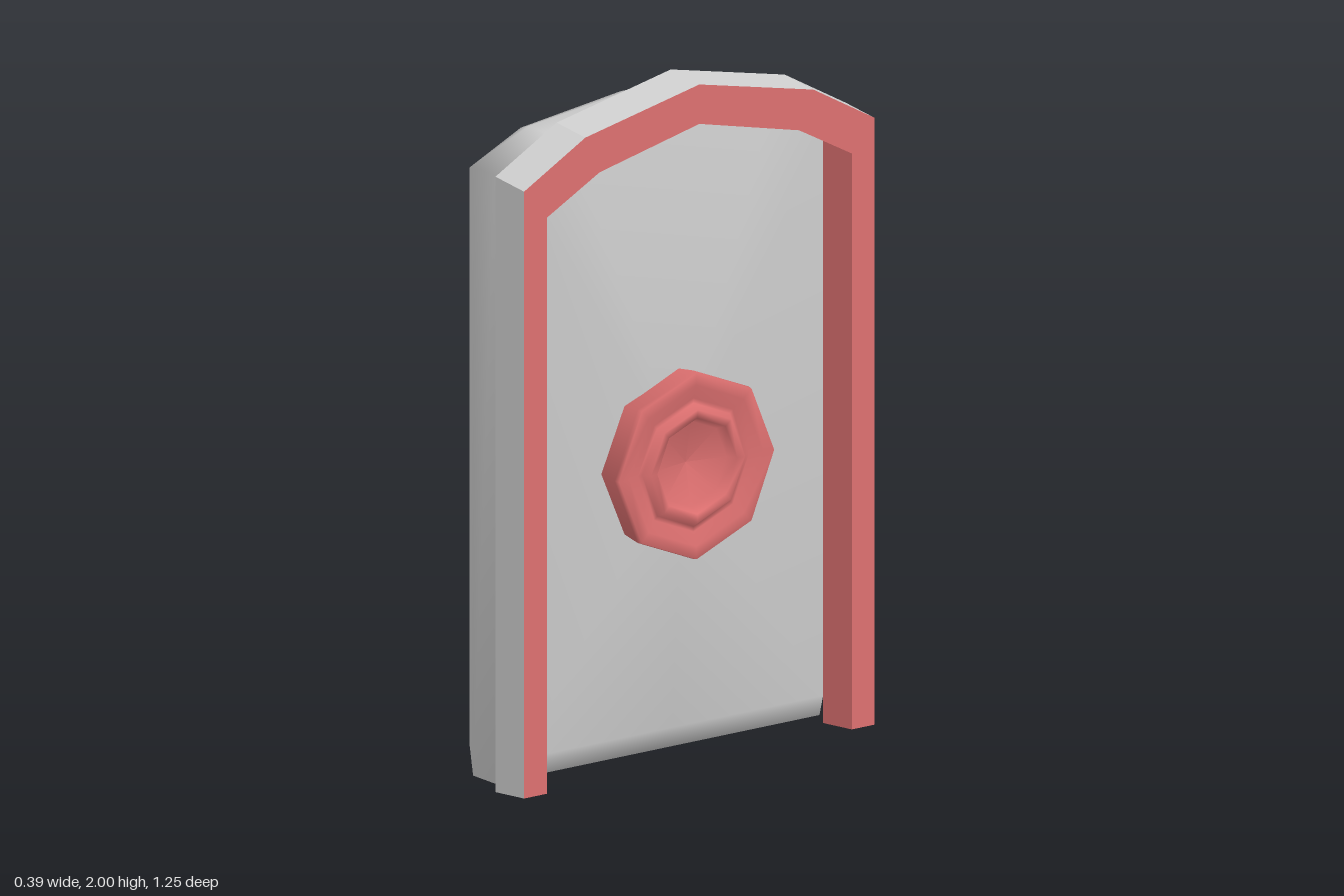
import * as THREE from 'three';

const grey = new THREE.MeshStandardMaterial({ color: 0xcccccc });
grey.name = 'light grey';
const red = new THREE.MeshStandardMaterial({ color: 0xdd7070 });
red.name = 'soft red';

function mesh(name, geometry, material) {
  const m = new THREE.Mesh(geometry, material);
  m.name = name;
  return m;
}

// Rounded slab lofted along x from arched outlines, closed with shallow fans
function slabGeometry() {
  // x, half depth, bottom, top
  const levels = [
    [-0.2, 0.43, 0.15, 1.82], [-0.17, 0.53, 0.07, 1.88], [-0.1, 0.57, 0, 1.905],
    [0, 0.57, 0, 1.905], [0.07, 0.53, 0.08, 1.88],
  ];
  const pos = [], index = [];
  const n = 9, cz = 0.01;
  for (const [x, h, y0, y1] of levels) {
    const outline = [
      [h, y0], [0, y0], [-h, y0], [-h, 0.87], [-h, y1 - 0.13],
      [-h * 0.66, y1 - 0.045], [0, y1], [h * 0.66, y1 - 0.045], [h, y1 - 0.13],
    ];
    for (const [z, y] of outline) pos.push(x, y, z + cz);
  }
  const last = (levels.length - 1) * n;
  const backCentre = pos.length / 3;
  pos.push(-0.2, 0.87, cz, 0.115, 0.87, cz);
  for (let i = 0; i < n; i++) {
    const j = (i + 1) % n;
    for (let l = 0; l < last; l += n) {
      index.push(l + i, l + j, l + n + i, l + j, l + n + j, l + n + i);
    }
    index.push(backCentre, j, i, backCentre + 1, last + i, last + j);
  }
  const g = new THREE.BufferGeometry();
  g.setAttribute('position', new THREE.Float32BufferAttribute(pos, 3));
  g.setIndex(index);
  g.computeVertexNormals();
  return g;
}

// Flat-faced ribbon between two polylines
function ribbon(a, b) {
  const pos = [];
  for (let i = 0; i < a.length - 1; i++) {
    pos.push(...a[i], ...a[i + 1], ...b[i], ...a[i + 1], ...b[i + 1], ...b[i]);
  }
  const g = new THREE.BufferGeometry();
  g.setAttribute('position', new THREE.Float32BufferAttribute(pos, 3));
  g.computeVertexNormals();
  return g;
}

// Arched frame, its back edge shifted slightly up and forward
function createFrame() {
  const arch = (x, half, dz, dy) => [
    [half[0], 0], [half[0], half[1]], [half[2], half[3]], [0, half[4]],
    [-half[2], half[3]], [-half[0], half[1]], [-half[0], 0],
  ].map(([z, y]) => [x, y > 0 ? y + dy : 0, z + dz]);
  const outer = [0.615, 1.77, 0.4, 1.89, 1.975];
  const inner = [0.535, 1.68, 0.35, 1.78, 1.86];
  const of = arch(0.17, outer, -0.01, 0), ob = arch(0.07, outer, 0.015, 0.025);
  const nf = arch(0.17, inner, -0.01, 0), nb = arch(0.07, inner, 0.015, 0.025);
  const frame = new THREE.Group();
  frame.name = 'frame';
  frame.add(
    mesh('frameFace', ribbon(nf, of), red),
    mesh('frameInnerWall', ribbon(nb, nf), red),
    mesh('frameOuterWall', ribbon(of, ob), grey),
    mesh('frameBack', ribbon(ob, nb), grey),
    mesh('frameFootFront', ribbon([of[0], ob[0]], [nf[0], nb[0]]), red),
    mesh('frameFootRear', ribbon([ob[6], of[6]], [nb[6], nf[6]]), red),
  );
  return frame;
}

// Eight-sided boss with stepped rings and a hollow bowl
function createBoss() {
  const profile = [
    [0.26, 0.07], [0.275, 0.17], [0.272, 0.187], [0.235, 0.185], [0.195, 0.172],
    [0.18, 0.172], [0.165, 0.193], [0.14, 0.19], [0.125, 0.16], [0, 0.135],
  ].map(([r, x]) => new THREE.Vector2(r, x));
  const boss = mesh('boss', new THREE.LatheGeometry(profile, 8).rotateZ(-Math.PI / 2), red);
  boss.position.set(0, 0.87, 0.012);
  return boss;
}

export function createModel() {
  const model = new THREE.Group();
  model.name = 'archedPanel';
  model.add(mesh('slab', slabGeometry(), grey), createFrame(), createBoss());
  return model;
}
